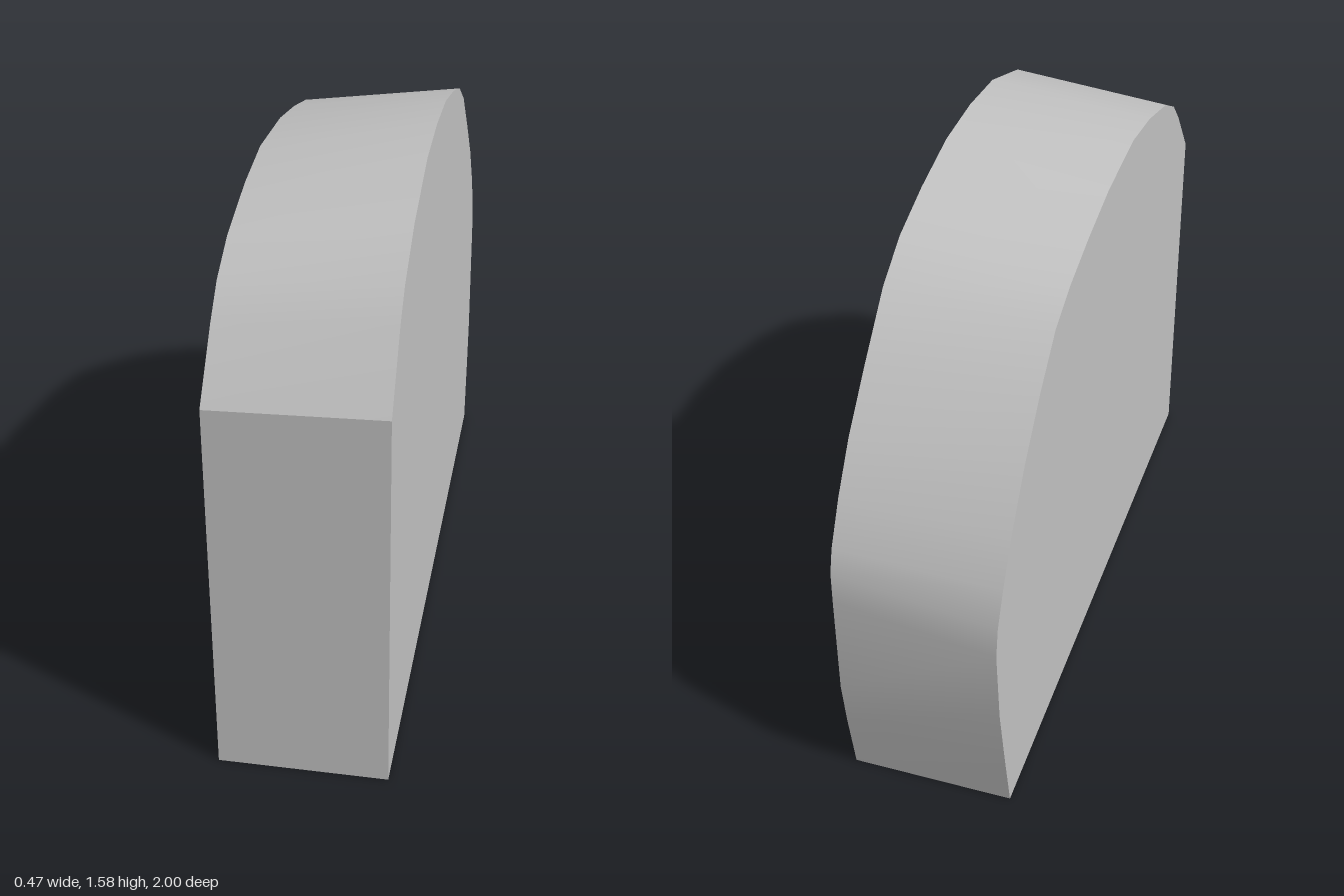
import * as THREE from 'three';
import { toCreasedNormals } from 'three/addons/utils/BufferGeometryUtils.js';

const HALF_WIDTH = 0.235;

// Matching side outlines as [z, y], from the bottom front, over the top, to the bottom back
const leftOutline = [
  [1, 0], [1, 1.14], [0.87, 1.33], [0.8, 1.4], [0.64, 1.49], [0.4, 1.565], [0.2, 1.58], [0, 1.57],
  [-0.2, 1.525], [-0.37, 1.47], [-0.5, 1.39], [-0.65, 1.24], [-0.78, 1.1], [-0.87, 0.97],
  [-0.935, 0.85], [-0.955, 0.78], [-0.957, 0.68], [-0.957, 0.36], [-0.935, 0.2], [-0.9, 0],
];
const rightOutline = [
  [1, 0], [1, 1.125], [0.86, 1.29], [0.78, 1.367], [0.66, 1.43], [0.45, 1.485], [0.26, 1.51], [0, 1.49],
  [-0.2, 1.45], [-0.37, 1.405], [-0.5, 1.35], [-0.63, 1.24], [-0.76, 1.105], [-0.87, 0.96],
  [-0.94, 0.84], [-0.985, 0.745], [-1, 0.66], [-0.98, 0.42], [-0.94, 0.2], [-0.9, 0],
];

// Closed solid between the two side outlines
function loftSides(right, left) {
  const n = right.length;
  const positions = [...right.map(([z, y]) => [-HALF_WIDTH, y, z]), ...left.map(([z, y]) => [HALF_WIDTH, y, z])];
  const index = [];
  for (let i = 0; i < n; i++) {
    const j = (i + 1) % n;
    index.push(i, n + i, n + j, i, n + j, j); // rim
    if (i > 0 && i < n - 1) {
      index.push(0, i, i + 1); // right side
      index.push(n, n + i + 1, n + i); // left side
    }
  }
  const geometry = new THREE.BufferGeometry();
  geometry.setAttribute('position', new THREE.Float32BufferAttribute(positions.flat(), 3));
  geometry.setIndex(index);
  return toCreasedNormals(geometry, 0.5);
}

export function createModel() {
  const group = new THREE.Group();
  group.name = 'roundedSlab';
  const grey = new THREE.MeshStandardMaterial({ color: 0xc0c0c0 });
  grey.name = 'grey';
  const slab = new THREE.Mesh(loftSides(rightOutline, leftOutline), grey);
  slab.name = 'slab';
  group.add(slab);
  return group;
}
